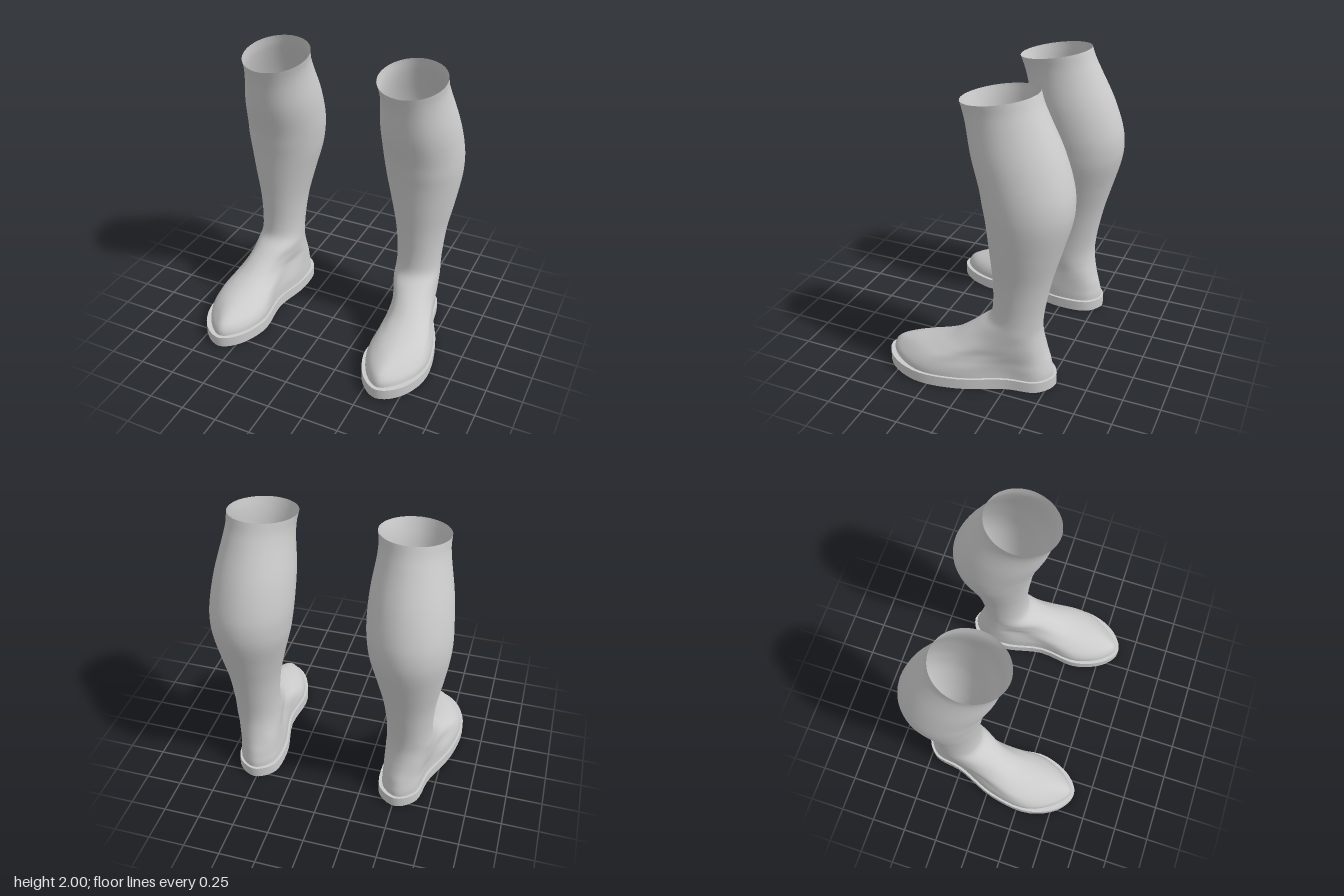
import * as THREE from 'three';
import { toCreasedNormals } from 'three/addons/utils/BufferGeometryUtils.js';

const SEGMENTS = 56; // points around a boot
const STEPS = 5;     // rings between two key sections
const FRACTIONS = [0, 0.067, 0.25, 0.5, 0.75, 0.933, 1]; // heel to toe

// Leg sections: [yBack, yFront, zBack, zFront, xInner, xOuter]
const LEG = [
  [0.5, 0.5, -0.452, -0.1, 0.39, 0.7],
  [0.6, 0.6, -0.465, -0.12, 0.388, 0.7],
  [0.8, 0.8, -0.505, -0.115, 0.365, 0.715],
  [1.0, 1.0, -0.56, -0.095, 0.32, 0.75],
  [1.2, 1.2, -0.615, -0.07, 0.27, 0.78],
  [1.3, 1.3, -0.627, -0.05, 0.255, 0.787],
  [1.42, 1.4, -0.617, -0.03, 0.245, 0.783],
  [1.63, 1.6, -0.55, 0.03, 0.246, 0.757],
  [1.85, 1.79, -0.443, 0.07, 0.268, 0.712],
  [1.93, 1.86, -0.405, 0.09, 0.268, 0.7],
  [2.0, 1.92, -0.38, 0.11, 0.257, 0.7],
];

// Foot sections: y, zBack, zFront, xHeel, xToe, inner edge, outer edge
const FOOT = [
  [0.07, -0.525, 0.607, 0.52, 0.605, [0.41, 0.382, 0.435, 0.415, 0.5], [0.635, 0.68, 0.795, 0.825, 0.72]],
  [0.11, -0.522, 0.6, 0.52, 0.605, [0.41, 0.382, 0.435, 0.415, 0.505], [0.635, 0.68, 0.793, 0.823, 0.71]],
  [0.15, -0.513, 0.57, 0.52, 0.605, [0.412, 0.383, 0.435, 0.425, 0.515], [0.635, 0.682, 0.785, 0.812, 0.69]],
  [0.2, -0.5, 0.46, 0.52, 0.61, [0.415, 0.385, 0.435, 0.445, 0.525], [0.63, 0.682, 0.757, 0.795, 0.7]],
  [0.25, -0.483, 0.3, 0.525, 0.615, [0.42, 0.386, 0.43, 0.46, 0.525], [0.63, 0.685, 0.73, 0.765, 0.705]],
  [0.3, -0.47, 0.17, 0.53, 0.605, [0.43, 0.388, 0.422, 0.46, 0.517], [0.63, 0.686, 0.72, 0.735, 0.69]],
  [0.36, -0.458, 0.075, 0.535, 0.59, [0.445, 0.392, 0.402, 0.447, 0.505], [0.628, 0.687, 0.712, 0.707, 0.665]],
  [0.43, -0.45, -0.02, 0.54, 0.56, [0.458, 0.402, 0.391, 0.418, 0.476], [0.624, 0.688, 0.705, 0.69, 0.637]],
];

const SOLE = [0, -0.543, 0.632, 0.515, 0.605,
  [0.39, 0.363, 0.42, 0.395, 0.485], [0.645, 0.695, 0.812, 0.842, 0.745]];

// Twelve key points: heel, outer edge, toe, inner edge
function footSection([y, zBack, zFront, xHeel, xToe, inner, outer]) {
  const point = (x, i) => new THREE.Vector3(x, y, THREE.MathUtils.lerp(zBack, zFront, FRACTIONS[i]));
  return [
    point(xHeel, 0), ...outer.map((x, i) => point(x, i + 1)),
    point(xToe, 6), ...inner.map((x, i) => point(x, i + 1)).reverse(),
  ];
}

function legSection([yBack, yFront, zBack, zFront, xInner, xOuter]) {
  return Array.from({ length: 12 }, (_, i) => {
    const a = i * Math.PI / 6;
    const f = (1 - Math.cos(a)) / 2;
    return new THREE.Vector3(
      (xInner + xOuter) / 2 + Math.sin(a) * (xOuter - xInner) / 2,
      THREE.MathUtils.lerp(yBack, yFront, f),
      THREE.MathUtils.lerp(zBack, zFront, f));
  });
}

// Smooth closed outline, mirrored and reordered for the other side
function outline(section, side) {
  const curve = new THREE.CatmullRomCurve3(section, true);
  const points = Array.from({ length: SEGMENTS }, (_, i) => curve.getPoint(i / SEGMENTS));
  points.forEach((p) => { p.x *= side; });
  return side < 0 ? points.reverse() : points;
}

// Open skin from foot to cuff
function upperGeometry(side) {
  const sections = [...FOOT.map(footSection), ...LEG.map(legSection)].map((s) => outline(s, side));
  const rings = (sections.length - 1) * STEPS;
  const columns = Array.from({ length: SEGMENTS }, (_, i) =>
    new THREE.CatmullRomCurve3(sections.map((s) => s[i])).getPoints(rings));
  const positions = [], index = [];
  for (let j = 0; j <= rings; j++) {
    for (let i = 0; i < SEGMENTS; i++) {
      positions.push(...columns[i][j].toArray());
      if (j === rings) continue;
      const a = j * SEGMENTS + i, b = j * SEGMENTS + (i + 1) % SEGMENTS;
      index.push(a, a + SEGMENTS, b, b, a + SEGMENTS, b + SEGMENTS);
    }
  }
  const geometry = new THREE.BufferGeometry();
  geometry.setAttribute('position', new THREE.Float32BufferAttribute(positions, 3));
  geometry.setIndex(index);
  geometry.computeVertexNormals();
  return geometry;
}

// Flat slab following the foot
function soleGeometry(side) {
  const shape = new THREE.Shape(outline(footSection(SOLE), side).map((p) => new THREE.Vector2(p.x, -p.z)));
  const geometry = new THREE.ExtrudeGeometry(shape, { depth: 0.076, bevelEnabled: false });
  geometry.rotateX(-Math.PI / 2);
  return toCreasedNormals(geometry, 0.7);
}

export function createModel() {
  const model = new THREE.Group();
  model.name = 'boots';
  const leather = new THREE.MeshStandardMaterial({ color: 0xcccccc, side: THREE.DoubleSide });
  const rubber = new THREE.MeshStandardMaterial({ color: 0xcccccc });
  for (const [side, name] of [[1, 'left'], [-1, 'right']]) {
    const boot = new THREE.Group();
    boot.name = name + 'Boot';
    const upper = new THREE.Mesh(upperGeometry(side), leather);
    upper.name = name + 'Upper';
    const sole = new THREE.Mesh(soleGeometry(side), rubber);
    sole.name = name + 'Sole';
    boot.add(upper, sole);
    model.add(boot);
  }
  return model;
}
